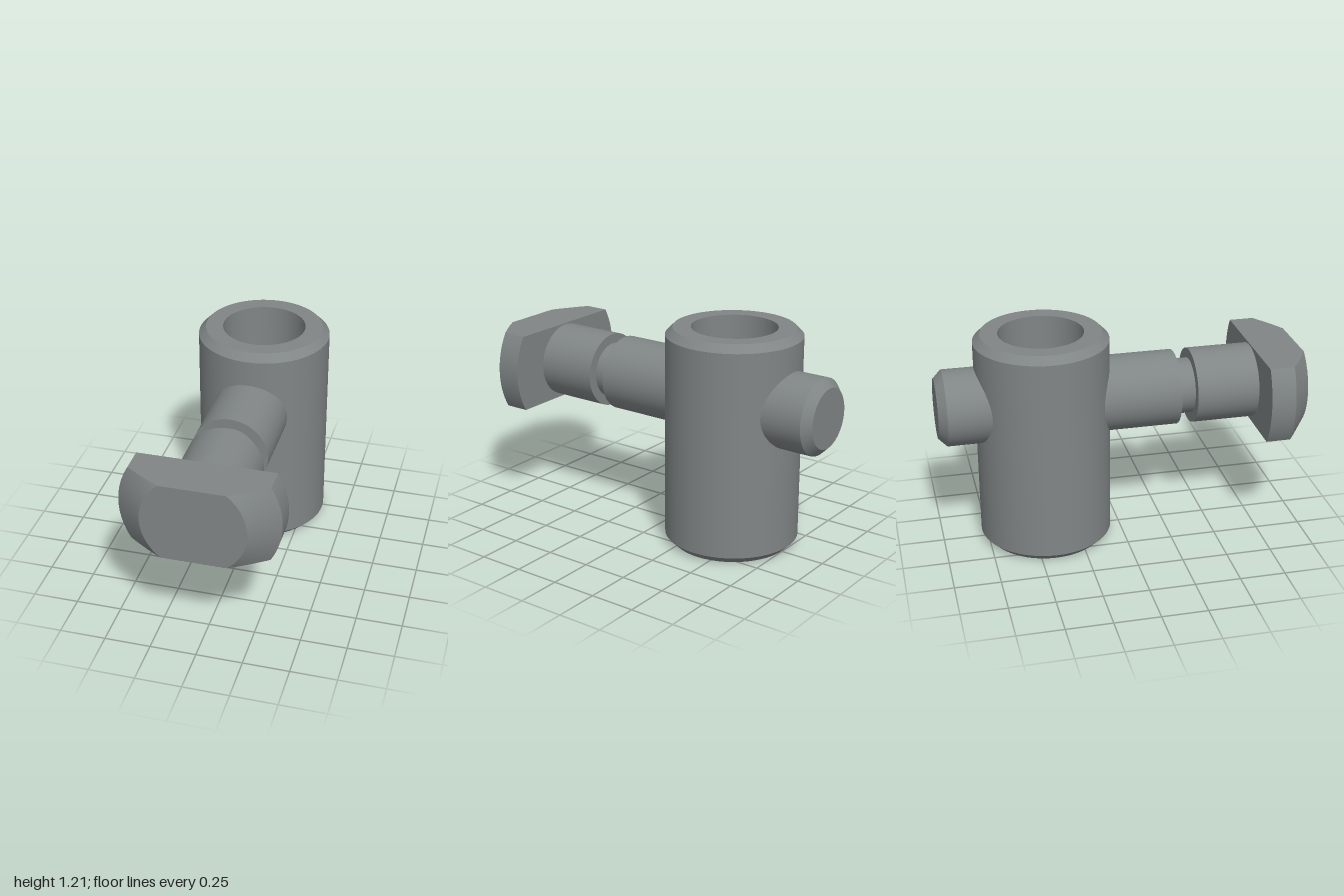
import * as THREE from 'three';
import { toCreasedNormals } from 'three/addons/utils/BufferGeometryUtils.js';

const steel = new THREE.MeshStandardMaterial({ color: 0x808585 });
steel.name = 'steel';

const AXIS_Y = 0.815; // height of the horizontal pin
const BARREL_Z = -0.42;

// Turned part around y with sharp profile corners
function turned(profile) {
  const points = profile.map(([r, y]) => new THREE.Vector2(r, y));
  return toCreasedNormals(new THREE.LatheGeometry(points, 64), 0.5);
}

// Round head with two parallel flats, from [radius, z] sections
function flattedHead(sections, halfHeight) {
  const positions = [], index = [], steps = 24, n = 2 * (steps + 1);
  for (const [r, z] of sections) {
    const a = Math.asin(halfHeight / r);
    for (const start of [0, Math.PI]) {
      for (let i = 0; i <= steps; i++) {
        const t = start - a + (2 * a * i) / steps;
        positions.push(r * Math.cos(t), r * Math.sin(t), z);
      }
    }
  }
  const last = sections.length - 1;
  for (let s = 0; s < last; s++) {
    for (let i = 0; i < n; i++) {
      const j = (i + 1) % n, p = s * n, q = p + n;
      index.push(p + i, p + j, q + j, p + i, q + j, q + i);
    }
  }
  // End caps
  const back = n * sections.length, front = back + 1;
  positions.push(0, 0, sections[0][1], 0, 0, sections[last][1]);
  for (let i = 0; i < n; i++) {
    const j = (i + 1) % n;
    index.push(back, j, i, front, last * n + i, last * n + j);
  }
  const geometry = new THREE.BufferGeometry();
  geometry.setAttribute('position', new THREE.Float32BufferAttribute(positions, 3));
  geometry.setIndex(index);
  return toCreasedNormals(geometry, 0.5);
}

export function createModel() {
  const model = new THREE.Group();
  model.name = 'crossPinConnector';
  const add = (name, geometry, y, z) => {
    const mesh = new THREE.Mesh(geometry, steel);
    mesh.name = name;
    mesh.position.set(0, y, z);
    model.add(mesh);
  };

  // Upright barrel with chamfered rims and a through bore
  add('barrel', turned([
    [0.23, 0], [0.325, 0], [0.365, 0.04], [0.365, 1.165],
    [0.325, 1.205], [0.23, 1.205], [0.23, 0],
  ]), 0, BARREL_Z);

  // Front shaft with a groove, starting inside the barrel wall
  add('frontShaft', turned([
    [0.207, -0.14], [0.207, 0.31], [0.153, 0.31],
    [0.153, 0.4], [0.207, 0.4], [0.207, 0.75],
  ]).rotateX(Math.PI / 2), AXIS_Y, 0);

  // Rear stub with a chamfered end
  add('rearStub', turned([
    [0, -1], [0.162, -1], [0.207, -0.955], [0.207, -0.7],
  ]).rotateX(Math.PI / 2), AXIS_Y, 0);

  // Head with flats and a conical front edge
  const sections = [[0.422, 0.745]];
  for (let i = 0; i <= 6; i++) {
    sections.push([0.422 - (0.147 * i) / 6, 0.88 + (0.12 * i) / 6]);
  }
  add('head', flattedHead(sections, 0.215), AXIS_Y, 0);

  return model;
}
